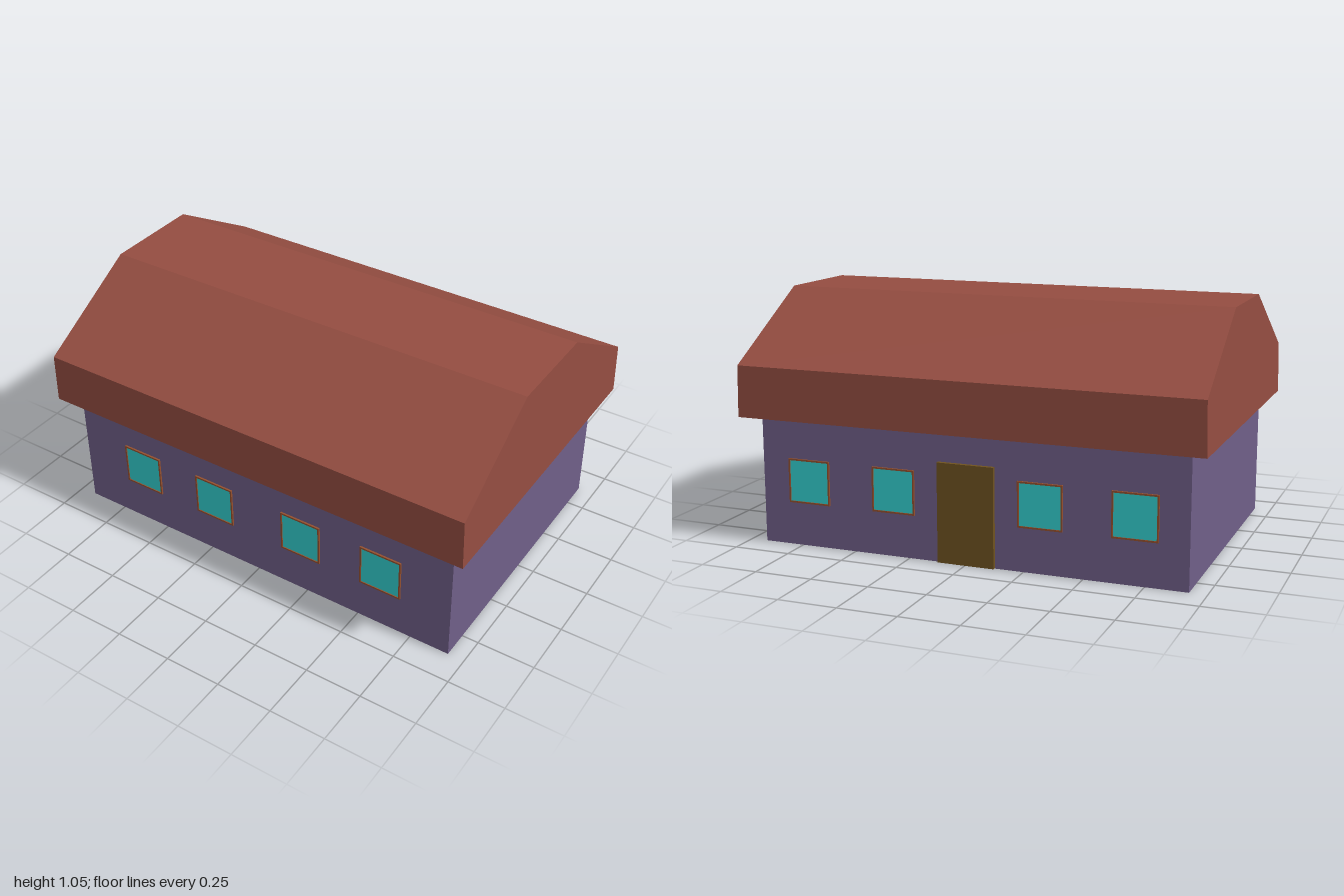
import * as THREE from 'three';

const mat = (color) => new THREE.MeshStandardMaterial({ color, flatShading: true });
const WALL_Z = 0.62;

export function createModel() {
  const house = new THREE.Group();
  house.name = 'house';
  const wallMat = mat(0x705f88), roofMat = mat(0x944d41), glassMat = mat(0x33d0d0);
  const frameMat = mat(0x94502f), doorMat = mat(0x6f5220);

  const add = (parent, name, geometry, material, x, y, z) => {
    const mesh = new THREE.Mesh(geometry, material);
    mesh.name = name;
    mesh.position.set(x, y, z);
    parent.add(mesh);
    return mesh;
  };

  // Walls
  add(house, 'walls', new THREE.BoxGeometry(1.855, 0.56, WALL_Z * 2), wallMat, 0, 0.28, 0);

  // Roof: flat-topped gable profile swept along x, ends leaning slightly inward
  const profile = new THREE.Shape([
    [-0.69, 0.55], [0.69, 0.55], [0.69, 0.77], [0.22, 1.05], [-0.22, 1.05], [-0.69, 0.77],
  ].map(([z, y]) => new THREE.Vector2(z, y)));
  const roof = new THREE.ExtrudeGeometry(profile, { depth: 2, bevelEnabled: false });
  roof.translate(0, 0, -1).rotateY(Math.PI / 2);
  const p = roof.attributes.position;
  for (let i = 0; i < p.count; i++) {
    p.setX(i, p.getX(i) * (1 - 0.024 * (p.getY(i) - 0.55)));
  }
  roof.computeVertexNormals();
  add(house, 'roof', roof, roofMat, 0, 0, 0);

  // Window: thin square frame around a pane
  const square = (path, h) => path.moveTo(-h, -h).lineTo(h, -h).lineTo(h, h).lineTo(-h, h).closePath();
  const ring = square(new THREE.Shape(), 0.095);
  ring.holes.push(square(new THREE.Path(), 0.088));
  const frameGeo = new THREE.ExtrudeGeometry(ring, { depth: 0.008, bevelEnabled: false });
  const paneGeo = new THREE.BoxGeometry(0.177, 0.177, 0.004);

  const addWindow = (name, x, side) => {
    const win = new THREE.Group();
    win.name = name;
    add(win, 'windowFrame', frameGeo, frameMat, 0, 0, 0);
    add(win, 'windowPane', paneGeo, glassMat, 0, 0, 0.002);
    win.position.set(x, 0.28, side * WALL_Z);
    if (side < 0) win.rotation.y = Math.PI;
    house.add(win);
  };
  for (const x of [-0.605, -0.22, 0.22, 0.605]) addWindow('frontWindow', x, 1);
  for (const x of [-0.71, -0.32, 0.32, 0.71]) addWindow('backWindow', x, -1);

  // Back door
  add(house, 'door', new THREE.BoxGeometry(0.245, 0.42, 0.03), doorMat, -0.005, 0.212, -0.622);
  return house;
}
